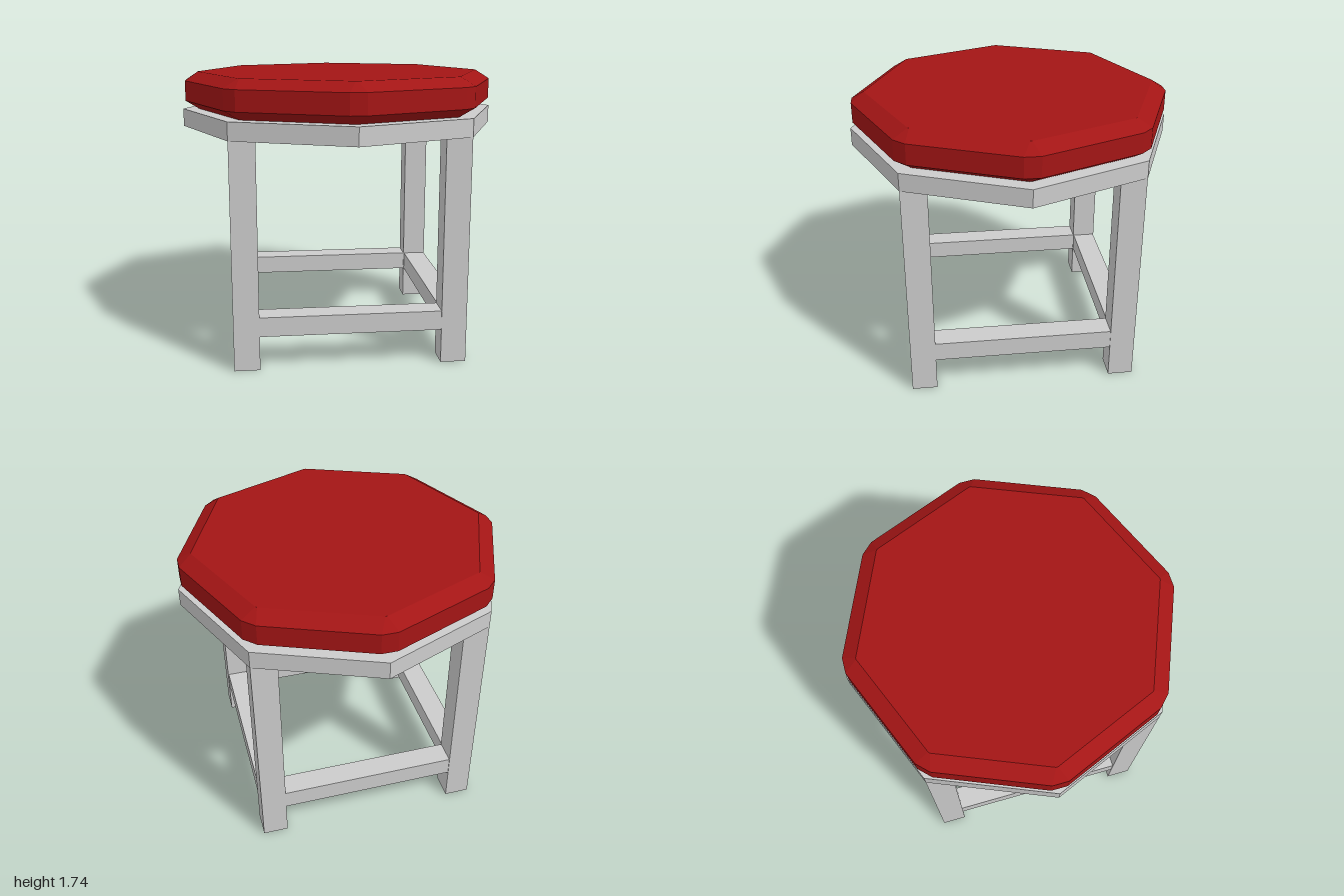
import * as THREE from 'three';

const grey = new THREE.MeshStandardMaterial({ color: 0xcccccc, flatShading: true });
const red = new THREE.MeshStandardMaterial({ color: 0xa31515, flatShading: true });

// Octagon ring with clipped corners: radius at the clip, half-width of the clip
function clippedOctagon(radius, half, y) {
  const ring = [];
  for (let k = 0; k < 8; k++) {
    for (const s of [-half, half]) {
      const a = k * Math.PI / 4 + Math.atan2(s, radius);
      const r = Math.hypot(radius, s);
      ring.push([r * Math.cos(a), y, r * Math.sin(a)]);
    }
  }
  return ring;
}

// Closed solid from a stack of rings, lowest first
function stackRings(rings) {
  const n = rings[0].length;
  const pos = [];
  const tri = (...pts) => pts.forEach(p => pos.push(...p));
  const bottom = rings[0], top = rings[rings.length - 1];
  for (let i = 0; i < n; i++) {
    const j = (i + 1) % n;
    for (let r = 0; r < rings.length - 1; r++) {
      const lo = rings[r], hi = rings[r + 1];
      tri(lo[i], hi[i], lo[j]);
      tri(lo[j], hi[i], hi[j]);
    }
    tri([0, top[0][1], 0], top[j], top[i]);
    tri([0, bottom[0][1], 0], bottom[i], bottom[j]);
  }
  const geo = new THREE.BufferGeometry();
  geo.setAttribute('position', new THREE.Float32BufferAttribute(pos, 3));
  geo.computeVertexNormals();
  return geo;
}

export function createModel() {
  const stool = new THREE.Group();
  stool.name = 'stool';
  const add = (name, geo, material, x, y, z, turn = 0) => {
    const mesh = new THREE.Mesh(geo, material);
    mesh.name = name;
    mesh.position.set(x, y, z);
    mesh.rotation.y = turn;
    stool.add(mesh);
  };

  // Bevelled seat cushion
  add('cushion', stackRings([
    clippedOctagon(0.9, 0.005, 1.5),
    clippedOctagon(0.98, 0.048, 1.555),
    clippedOctagon(0.98, 0.048, 1.68),
    clippedOctagon(0.9, 0.005, 1.735),
  ]), red, 0, 0, 0);

  // Octagonal seat board
  add('seatBoard', new THREE.CylinderGeometry(1, 1, 0.11, 8), grey, 0, 1.445, 0);

  // Four square legs set on the diagonal, joined by stretchers
  const legCentre = 0.89;
  const legWidth = 0.11 * Math.SQRT2;
  const span = legCentre * Math.SQRT2;
  const legGeo = new THREE.BoxGeometry(legWidth, 1.39, legWidth);
  const stretcherGeo = new THREE.BoxGeometry(span - legWidth, 0.12, legWidth - 0.008);
  for (let k = 0; k < 4; k++) {
    const a = k * Math.PI / 2;
    const b = a + Math.PI / 4;
    add('leg' + (k + 1), legGeo, grey,
      legCentre * Math.cos(a), 0.695, legCentre * Math.sin(a), Math.PI / 4);
    add('stretcher' + (k + 1), stretcherGeo, grey,
      span / 2 * Math.cos(b), 0.27, span / 2 * Math.sin(b), Math.PI / 2 - b);
  }
  return stool;
}
